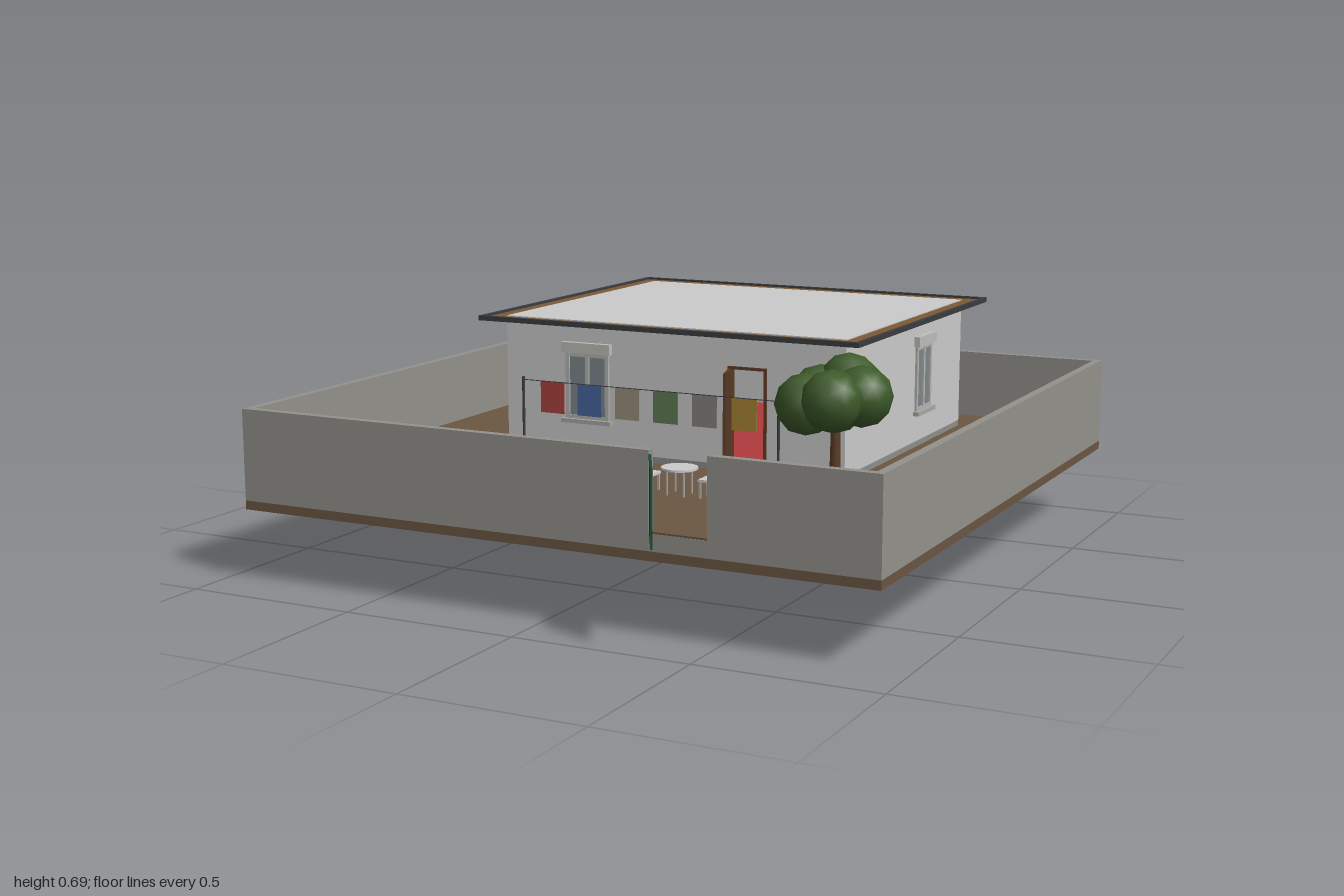
import * as THREE from 'three';

const GREY = 0xcccccc, STONE = 0x94928c, SOIL = 0x6b5743, WOOD = 0x5a3a24, DARK = 0x3a3c40;
const mats = new Map();
function mat(color, side = THREE.FrontSide) {
  const key = color + '_' + side;
  if (!mats.has(key)) mats.set(key, new THREE.MeshStandardMaterial({ color, side }));
  return mats.get(key);
}
function add(parent, name, geo, color, x = 0, y = 0, z = 0, side) {
  const m = new THREE.Mesh(geo, mat(color, side));
  m.name = name;
  m.position.set(x, y, z);
  parent.add(m);
  return m;
}
// box given by its min and max corners
function span(parent, name, color, x0, x1, y0, y1, z0, z1) {
  return add(parent, name, new THREE.BoxGeometry(x1 - x0, y1 - y0, z1 - z0), color,
    (x0 + x1) / 2, (y0 + y1) / 2, (z0 + z1) / 2);
}
function group(parent, name, x = 0, y = 0, z = 0, ry = 0) {
  const g = new THREE.Group();
  g.name = name;
  g.position.set(x, y, z);
  g.rotation.y = ry;
  parent.add(g);
  return g;
}

// framed window with shutter box and sill, facing local +z, hung from its top
function addWindow(parent, name, x, z, ry, w, h) {
  const g = group(parent, name, x, 0.607, z, ry);
  span(g, 'shutterBox', 0xbfbfba, -w / 2 - 0.01, w / 2 + 0.01, -0.03, 0, -0.005, 0.017);
  span(g, 'sill', 0xa8a8a4, -w / 2 - 0.012, w / 2 + 0.012, -h, -h + 0.012, -0.005, 0.018);
  span(g, 'glass', 0x7d878d, -w / 2, w / 2, -h + 0.01, -0.03, -0.005, 0.002);
  for (const s of [-1, 0, 1]) {
    const c = s * (w / 2 - 0.005);
    span(g, 'frameUpright', 0xb5b5b2, c - 0.006, c + 0.006, -h + 0.01, -0.03, 0, 0.007);
  }
  for (const y of [-0.036, -h + 0.016])
    span(g, 'frameRail', 0xb5b5b2, -w / 2, w / 2, y - 0.006, y + 0.006, 0, 0.006);
}

function addChair(parent, x, z, dir) {
  const g = group(parent, 'chair', x, 0.275, z);
  span(g, 'seat', GREY, -0.027, 0.027, 0.045, 0.052, -0.027, 0.027);
  span(g, 'backrest', GREY, dir * 0.024 - 0.003, dir * 0.024 + 0.003, 0.052, 0.11, -0.027, 0.027);
  for (const a of [-1, 1]) for (const b of [-1, 1])
    span(g, 'chairLeg', 0xaaaaaa, a * 0.022 - 0.003, a * 0.022 + 0.003, 0, 0.045, b * 0.022 - 0.003, b * 0.022 + 0.003);
}

function buildGrounds(root) {
  const g = group(root, 'grounds');
  span(g, 'basement', STONE, -0.535, 0.535, 0, 0.2, -0.8, 0.135);
  span(g, 'soilSlab', SOIL, -0.93, 0.93, 0.2, 0.225, -1, 0.86);
  span(g, 'wallFooting', STONE, -0.93, 0.93, 0.225, 0.27, -1, 0.86);
  span(g, 'yardSoil', SOIL, -0.906, 0.906, 0.268, 0.275, -0.976, 0.836);
  span(g, 'threshold', SOIL, 0.315, 0.475, 0.268, 0.275, 0.83, 0.859);
  for (const s of [-1, 1])
    span(g, 'sideWall', STONE, s * 0.918 - 0.012, s * 0.918 + 0.012, 0.27, 0.48, -1, 0.86);
  span(g, 'backWall', STONE, -0.906, 0.906, 0.27, 0.48, -1, -0.976);
  span(g, 'frontWall', STONE, -0.906, 0.315, 0.27, 0.48, 0.836, 0.86);
  span(g, 'frontWall', STONE, 0.475, 0.906, 0.27, 0.48, 0.836, 0.86);
  // open gate swung outwards
  const gate = group(root, 'gate', 0.317, 0, 0.855, -1.07);
  span(gate, 'gateLeaf', 0x1f4a35, 0, 0.165, 0.27, 0.47, -0.003, 0.003);
}

function buildHouse(root) {
  const g = group(root, 'house');
  span(g, 'plinth', 0x8f8f8c, -0.535, 0.535, 0.27, 0.292, -0.8, 0.13);
  span(g, 'floor', 0xb03a3e, -0.515, 0.515, 0.292, 0.296, -0.78, 0.11);
  for (const s of [-1, 1])
    span(g, 'houseSideWall', GREY, s * 0.525 - 0.01, s * 0.525 + 0.01, 0.292, 0.66, -0.8, 0.13);
  span(g, 'houseBackWall', GREY, -0.515, 0.515, 0.292, 0.66, -0.8, -0.78);
  // front wall around the doorway
  const wall = new THREE.Shape([[-0.515, 0.292], [0.19, 0.292], [0.19, 0.565], [0.3, 0.565], [0.3, 0.292],
    [0.515, 0.292], [0.515, 0.66], [-0.515, 0.66]].map(p => new THREE.Vector2(...p)));
  add(g, 'houseFrontWall', new THREE.ExtrudeGeometry(wall, { depth: 0.02, bevelEnabled: false }), GREY, 0, 0, 0.11);
  // door frame and open leaf
  for (const x of [0.187, 0.297])
    span(g, 'doorJamb', WOOD, x - 0.004, x + 0.004, 0.292, 0.573, 0.108, 0.136);
  span(g, 'doorLintel', WOOD, 0.183, 0.301, 0.565, 0.573, 0.108, 0.136);
  const leaf = group(g, 'door', 0.188, 0, 0.133, -1.28);
  span(leaf, 'doorLeaf', WOOD, 0, 0.095, 0.295, 0.566, -0.004, 0.004);
  // windows on all four sides
  addWindow(g, 'frontWindow', -0.265, 0.13, 0, 0.138, 0.235);
  addWindow(g, 'leftWindow', 0.535, -0.466, Math.PI / 2, 0.122, 0.235);
  addWindow(g, 'rightWindow', -0.535, -0.335, -Math.PI / 2, 0.125, 0.235);
  addWindow(g, 'backWindow', 0.205, -0.8, Math.PI, 0.135, 0.235);
  addWindow(g, 'smallBackWindow', -0.3, -0.8, Math.PI, 0.075, 0.135);
  // flat roof with overhang and gutter
  span(g, 'roofOverhang', 0x7d5a36, -0.585, 0.585, 0.66, 0.667, -0.855, 0.18);
  span(g, 'roofTop', 0xc6c6c4, -0.535, 0.535, 0.662, 0.67, -0.8, 0.13);
  for (const s of [-1, 1]) {
    span(g, 'gutter', DARK, s * 0.589 - 0.006, s * 0.589 + 0.006, 0.659, 0.673, -0.866, 0.19);
    const z = -0.338 + s * 0.522;
    span(g, 'gutter', DARK, -0.583, 0.583, 0.659, 0.673, z - 0.006, z + 0.006);
  }
}

function buildGarden(root) {
  const g = group(root, 'garden');
  // vegetable beds; x offset and colour of each plant, back to front
  const beds = [
    [-0.732, [0.024, 'g'], [-0.004, 'r'], [-0.026, 'r'], [-0.004, 'r'], [0.028, 'g']],
    [-0.52, [0.011, 'r'], [0.038, 'g'], [0.011, 'r'], [-0.032, 'r'], [-0.005, 'g']],
    [-0.309, [0.005, 'g'], [-0.025, 'g'], [-0.036, 'g'], [-0.036, 'r'], [0.012, 'r']],
  ];
  const ball = new THREE.SphereGeometry(0.021, 12, 8);
  for (const [bx, ...plants] of beds) {
    span(g, 'bed', 0x4d3d2f, bx - 0.078, bx + 0.078, 0.272, 0.285, 0.325, 0.722);
    plants.forEach(([dx, c], i) =>
      add(g, 'plant', ball, c === 'r' ? 0xb02a26 : 0x245a2c, bx + dx, 0.298, 0.35 + i * 0.08));
  }
  // washing line
  for (const x of [-0.4, 0.397])
    add(g, 'linePost', new THREE.CylinderGeometry(0.004, 0.004, 0.247, 8), DARK, x, 0.3965, 0.265);
  span(g, 'line', DARK, -0.4, 0.397, 0.509, 0.511, 0.259, 0.261);
  [0xa8423c, 0x46659c, 0x9c8f7c, 0x5f7a52, 0x85807e, 0xa88436].forEach((c, i) =>
    span(g, 'laundry', c, -0.346 + i * 0.12, -0.27 + i * 0.12, 0.42, 0.51, 0.257, 0.26));
  // table and chairs
  add(g, 'tableTop', new THREE.CylinderGeometry(0.05, 0.05, 0.006, 24), GREY, 0.196, 0.347, 0.457);
  for (let i = 0; i < 4; i++) {
    const a = Math.PI / 4 + i * Math.PI / 2;
    add(g, 'tableLeg', new THREE.CylinderGeometry(0.003, 0.003, 0.07, 6), 0xaaaaaa,
      0.196 + Math.cos(a) * 0.035, 0.31, 0.457 + Math.sin(a) * 0.035);
  }
  addChair(g, 0.1, 0.457, -1);
  addChair(g, 0.29, 0.457, 1);
  // tree with a crown of clumps
  add(g, 'trunk', new THREE.CylinderGeometry(0.012, 0.018, 0.27, 8), WOOD, 0.67, 0.405, 0.525);
  const clump = new THREE.IcosahedronGeometry(0.08, 1);
  const clumps = [[0.68, 0.612, 0.462], [0.61, 0.58, 0.48], [0.735, 0.592, 0.515],
    [0.605, 0.57, 0.565], [0.685, 0.588, 0.59], [0.67, 0.575, 0.53]];
  clumps.forEach((p, i) => {
    add(g, 'foliage', clump, 0x3d5a2a, ...p).rotation.y = i;
  });
  // stacked logs
  const log = new THREE.CylinderGeometry(0.0135, 0.0135, 0.185, 8).rotateZ(Math.PI / 2);
  for (let row = 0; row < 3; row++) for (let i = 0; i < 5; i++)
    add(g, 'log', log, 0x7a5230, -0.797, 0.288 + row * 0.025, -0.877 + i * 0.026);
}

export function createModel() {
  const root = new THREE.Group();
  root.name = 'houseWithYard';
  const inner = group(root, 'plot');
  buildGrounds(inner);
  buildHouse(inner);
  buildGarden(inner);
  return root;
}
